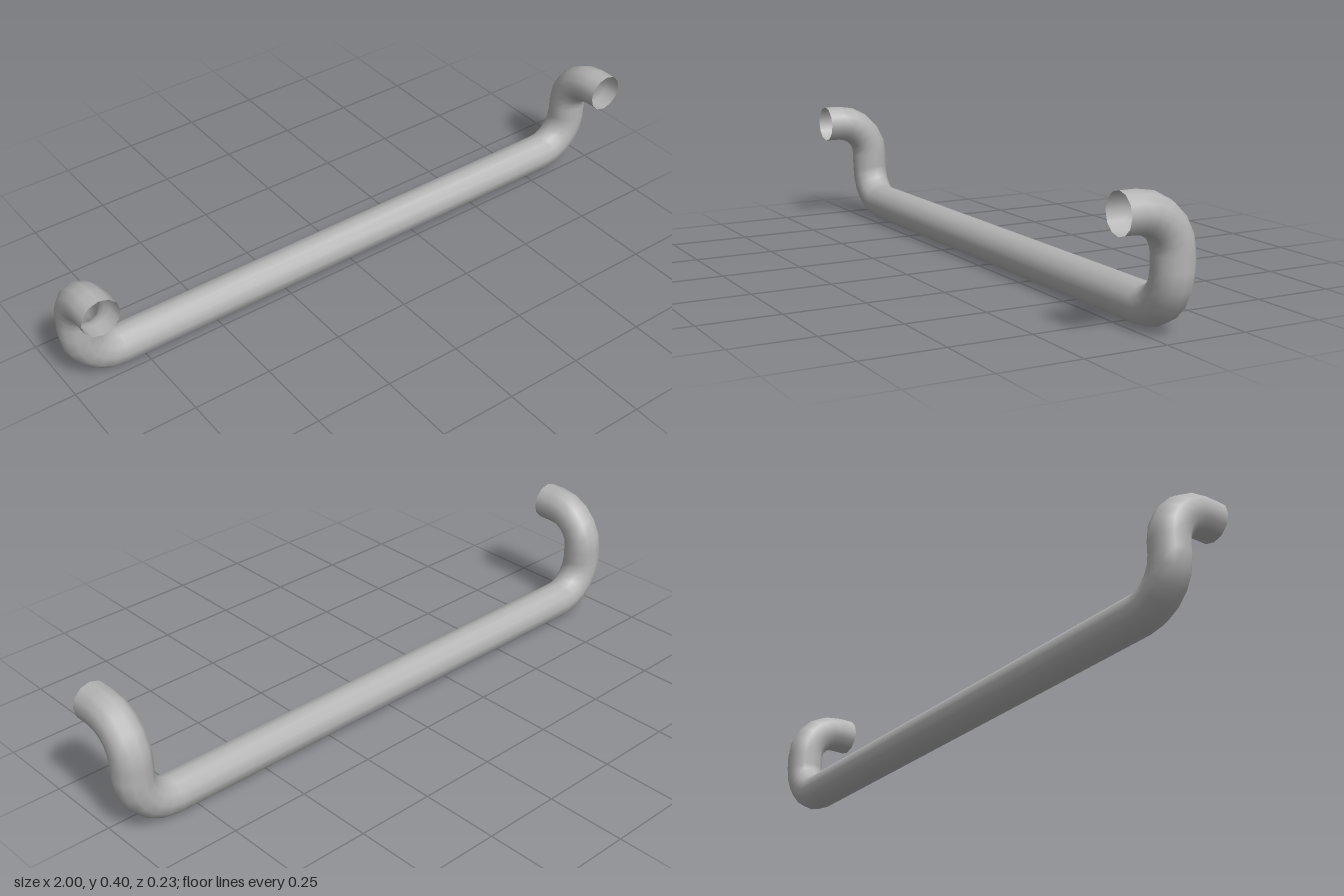
import * as THREE from 'three';

const TUBE = 0.06;   // tube radius
const BEND = 0.12;   // centreline bend radius
const STEPS = 5;     // segments per bend
const Z = -0.055;    // plane of the bar and uprights

// Curve that places one ring at each given point, with exact tangents
class RingPath extends THREE.Curve {
  constructor(rings) {
    super();
    this.rings = rings;
  }
  ring(u) {
    return this.rings[Math.round(u * (this.rings.length - 1))];
  }
  getPointAt(u, target = new THREE.Vector3()) {
    return target.copy(this.ring(u).point);
  }
  getTangentAt(u, target = new THREE.Vector3()) {
    return target.copy(this.ring(u).tangent);
  }
}

// Quarter-circle bend around a corner, from direction a to direction b
function bend(corner, a, b) {
  const centre = corner.clone().addScaledVector(a, -BEND).addScaledVector(b, BEND);
  return Array.from({ length: STEPS + 1 }, (_, i) => {
    const t = (i / STEPS) * Math.PI / 2;
    return {
      point: centre.clone().addScaledVector(a, BEND * Math.sin(t)).addScaledVector(b, -BEND * Math.cos(t)),
      tangent: a.clone().multiplyScalar(Math.cos(t)).addScaledVector(b, Math.sin(t)),
    };
  });
}

export function createModel() {
  const v = (x, y, z) => new THREE.Vector3(x, y, z);
  const metal = new THREE.MeshStandardMaterial({ color: 0xb4b4b4, side: THREE.DoubleSide });
  metal.name = 'grey metal';

  const x = 0.94, low = 0.06, high = 0.341, front = 0.115;
  const back = v(0, 0, -1), forward = v(0, 0, 1);
  const up = v(0, 1, 0), down = v(0, -1, 0), left = v(1, 0, 0);

  // Centreline: open end, down the right upright, along the bar, up the left upright
  const rings = [
    { point: v(-x, high, front), tangent: back },
    ...bend(v(-x, high, Z), back, down),
    ...bend(v(-x, low, Z), down, left),
    ...bend(v(x, low, Z), left, up),
    ...bend(v(x, high, Z), up, forward),
    { point: v(x, high, front), tangent: forward },
  ];

  const handle = new THREE.Mesh(
    new THREE.TubeGeometry(new RingPath(rings), rings.length - 1, TUBE, 12, false), metal);
  handle.name = 'bentTubeHandle';

  const group = new THREE.Group();
  group.name = 'barHandle';
  group.add(handle);
  return group;
}
